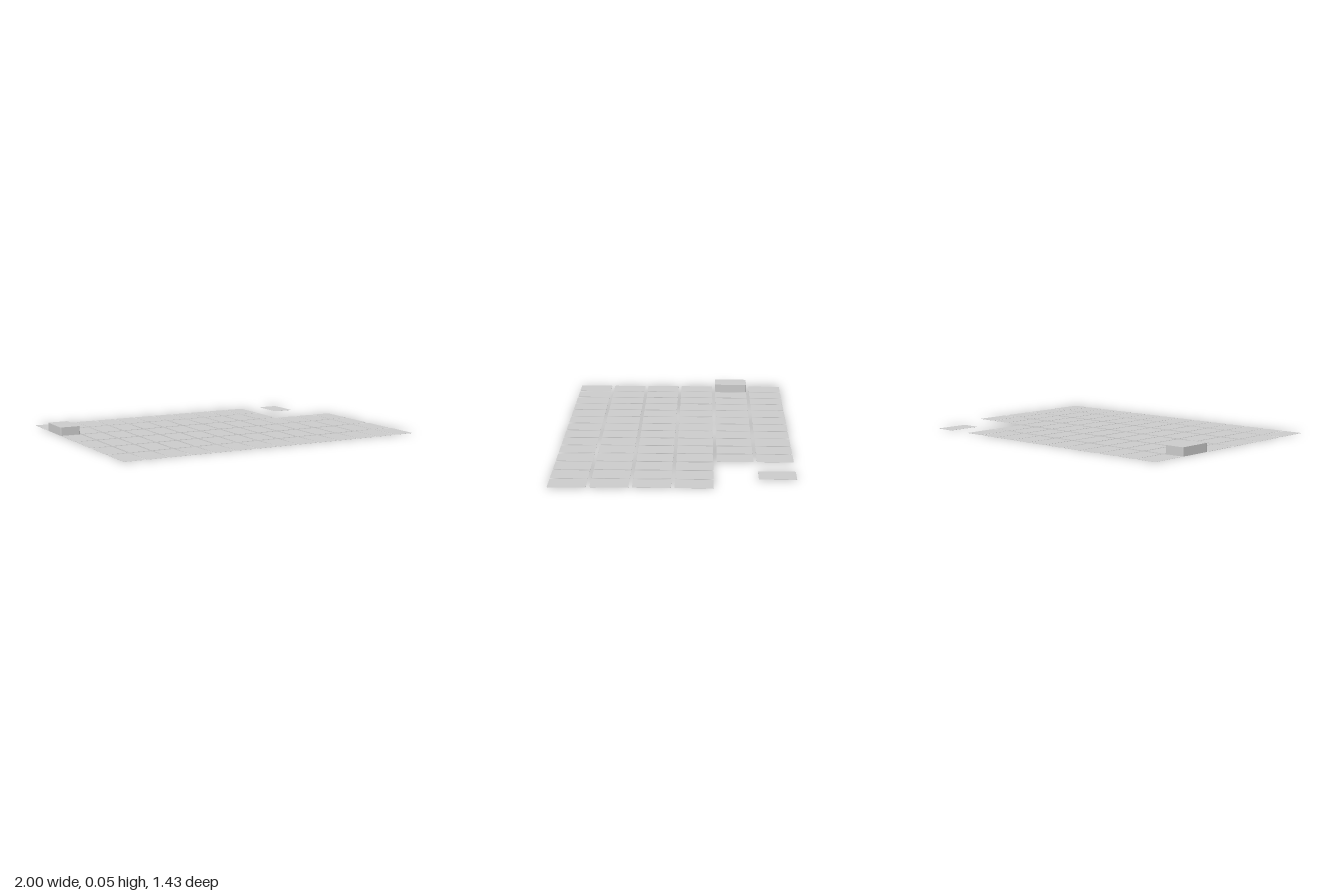
import * as THREE from 'three';

const W = 0.13, D = 0.222, R = 0.008; // card width, depth, corner radius
const THICK = 0.0008, DECK_HEIGHT = 0.053;

// Rounded card outline, extruded upward to the given height
function cardGeometry(height) {
  const x = W / 2, y = D / 2;
  const s = new THREE.Shape();
  s.moveTo(-x + R, -y);
  s.lineTo(x - R, -y);
  s.absarc(x - R, -y + R, R, -Math.PI / 2, 0);
  s.lineTo(x, y - R);
  s.absarc(x - R, y - R, R, 0, Math.PI / 2);
  s.lineTo(-x + R, y);
  s.absarc(-x + R, y - R, R, Math.PI / 2, Math.PI);
  s.lineTo(-x, -y + R);
  s.absarc(-x + R, -y + R, R, Math.PI, Math.PI * 1.5);
  const g = new THREE.ExtrudeGeometry(s, { depth: height, bevelEnabled: false, curveSegments: 5 });
  g.rotateX(-Math.PI / 2);
  return g;
}

export function createModel() {
  const group = new THREE.Group();
  const material = new THREE.MeshStandardMaterial({ color: 0xcccccc });
  const card = cardGeometry(THICK);

  const columnX = (col, pitch) => -1 + W / 2 + col * pitch;
  const rowZ = (row) => -0.606 + row * 0.2423;

  // Rows from back to front; the front row is spaced slightly wider
  const rows = [
    { name: 'backRow', count: 11, pitch: 0.1433, extra: [12] },
    { name: 'deckRow', count: 11, pitch: 0.1433 },
    { name: 'thirdRow', count: 14, pitch: 0.1433 },
    { name: 'fourthRow', count: 14, pitch: 0.1433 },
    { name: 'fifthRow', count: 14, pitch: 0.1433 },
    { name: 'frontRow', count: 14, pitch: 0.14385 },
  ];
  rows.forEach(({ name, count, pitch, extra = [] }, r) => {
    const row = new THREE.Group();
    row.name = name;
    const columns = [...Array(count).keys(), ...extra];
    for (const c of columns) {
      const mesh = new THREE.Mesh(card, material);
      mesh.name = c >= count ? 'separateCard' : `card${c + 1}`;
      mesh.position.set(columnX(c, pitch), 0, rowZ(r));
      row.add(mesh);
    }
    group.add(row);
  });

  // Stacked deck resting on the first card of the second row
  const deck = new THREE.Mesh(cardGeometry(DECK_HEIGHT - THICK), material);
  deck.name = 'stackedDeck';
  deck.position.set(columnX(0, 0), THICK, rowZ(1));
  group.add(deck);

  return group;
}
